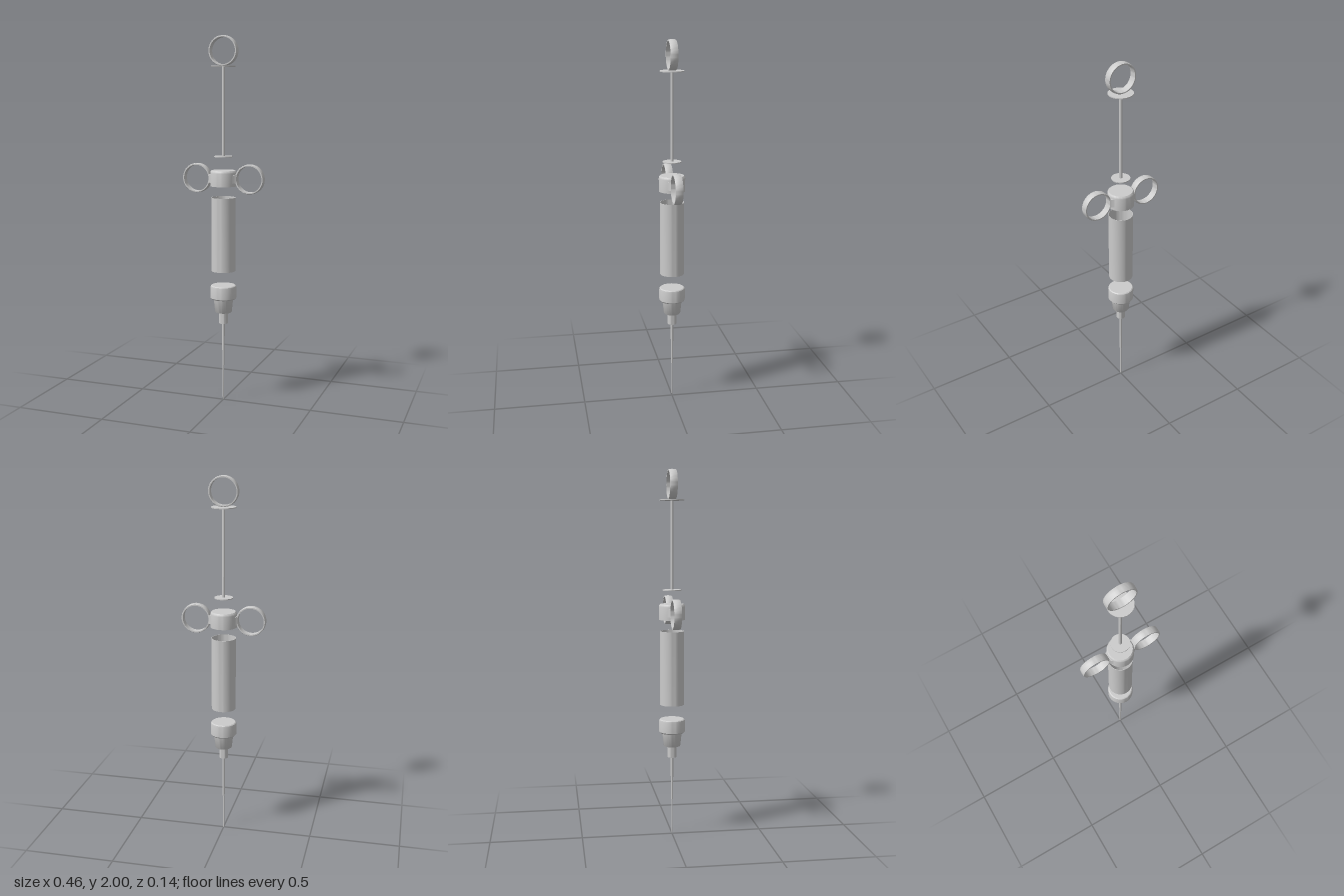
import * as THREE from 'three';
import { toCreasedNormals } from 'three/addons/utils/BufferGeometryUtils.js';

const grey = new THREE.MeshStandardMaterial({ color: 0xcccccc, side: THREE.DoubleSide });

function add(group, name, geometry, x = 0, y = 0) {
  const mesh = new THREE.Mesh(geometry, grey);
  mesh.name = name;
  mesh.position.set(x, y, 0);
  group.add(mesh);
  return mesh;
}

// Turned part from [radius, height] points, listed bottom to top
function turned(points, segments = 48) {
  const profile = points.map(([r, y]) => new THREE.Vector2(r, y));
  return toCreasedNormals(new THREE.LatheGeometry(profile, segments), 0.6);
}

// Finger ring: flat band with a slightly crowned outside, axis along z
function ringGeometry() {
  const geometry = turned([
    [0.071, -0.02], [0.077, -0.02], [0.079, -0.016], [0.08, 0],
    [0.079, 0.016], [0.077, 0.02], [0.071, 0.02], [0.071, -0.02],
  ], 64);
  return geometry.rotateX(Math.PI / 2);
}

export function createModel() {
  const model = new THREE.Group();
  model.name = 'syringe';

  // Plunger: thumb ring, thumb plate, rod and piston disc
  const plunger = new THREE.Group();
  plunger.name = 'plunger';
  model.add(plunger);
  add(plunger, 'thumbRing', ringGeometry(), 0, 1.92);
  add(plunger, 'thumbPlate', turned([[0, 1.836], [0.065, 1.836], [0.065, 1.841], [0, 1.841]]));
  add(plunger, 'plungerRod', turned([[0, 1.36], [0.008, 1.36], [0.008, 1.838], [0, 1.838]], 24));
  add(plunger, 'pistonDisc', turned([[0, 1.359], [0.05, 1.359], [0.05, 1.364], [0, 1.364]]));

  // Grip: cap with a finger ring on each side
  const grip = new THREE.Group();
  grip.name = 'grip';
  model.add(grip);
  add(grip, 'gripCap', turned([
    [0, 1.202], [0.071, 1.202], [0.071, 1.273], [0.069, 1.282], [0.064, 1.287], [0, 1.287],
  ]));
  for (const side of [1, -1]) {
    const name = side > 0 ? 'left' : 'right';
    add(grip, name + 'FingerRing', ringGeometry(), side * 0.15, 1.243);
    // Flared web blending the cap into the ring
    const web = new THREE.Shape();
    web.moveTo(0.052, -0.046);
    web.quadraticCurveTo(0.068, -0.026, 0.08, -0.02);
    web.lineTo(0.08, 0.02);
    web.quadraticCurveTo(0.068, 0.026, 0.052, 0.046);
    const webGeometry = new THREE.ExtrudeGeometry(web, { depth: 0.045, bevelEnabled: false });
    webGeometry.rotateX(-Math.PI / 2);
    const mesh = add(grip, name + 'RingWeb', webGeometry, 0, 1.22);
    if (side < 0) mesh.rotation.y = Math.PI;
  }

  // Open glass barrel
  add(model, 'barrel', turned([
    [0.064, 0.736], [0.066, 0.736], [0.066, 1.14], [0.064, 1.14], [0.064, 0.736],
  ]));

  // Needle hub: cap, tapered neck and hollow nozzle
  add(model, 'needleHub', turned([
    [0, 0.46], [0.018, 0.46], [0.018, 0.441], [0.024, 0.441], [0.024, 0.504],
    [0.043, 0.504], [0.046, 0.508], [0.053, 0.573], [0.055, 0.58], [0.066, 0.58],
    [0.071, 0.586], [0.071, 0.644], [0.069, 0.652], [0.064, 0.656], [0, 0.656],
  ]));

  // Needle: thick sleeve and a fine tip cut on a slant
  add(model, 'needleSleeve', turned([[0, 0.2], [0.006, 0.2], [0.008, 0.46], [0, 0.46]], 24));
  const tip = new THREE.CylinderGeometry(0.004, 0.004, 0.2, 16).translate(0, 0.1, 0);
  const p = tip.attributes.position;
  for (let i = 0; i < p.count; i++) {
    if (p.getY(i) < 0.01) p.setY(i, (p.getZ(i) + 0.004) * 2.5);
  }
  add(model, 'needleTip', toCreasedNormals(tip, 0.6));

  return model;
}
